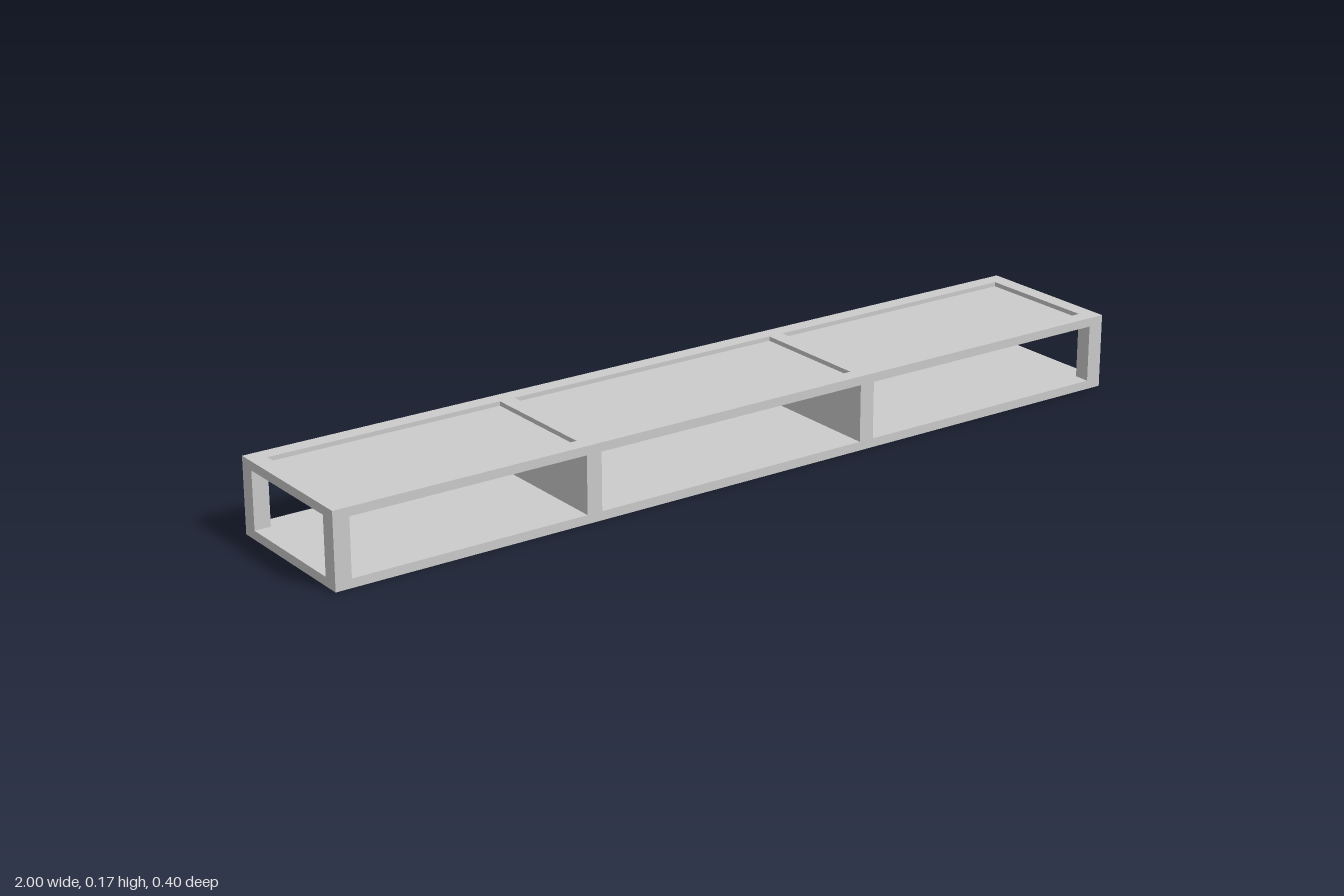
import * as THREE from 'three';

const L = 1.994, W = 0.361, H = 0.17; // outer size
const T = 0.02;                       // slab thickness
const P = 0.037;                      // post and frame width
const RECESS = 0.01;
// x limits of the three bays
const BAYS = [[-L / 2 + P, -0.41], [-0.374, 0.298], [0.334, L / 2 - P]];

export function createModel() {
  const material = new THREE.MeshStandardMaterial({ color: 0xcccccc, flatShading: true });
  const model = new THREE.Group();
  model.name = 'openShelfUnit';

  const add = (name, geometry) => {
    const mesh = new THREE.Mesh(geometry, material);
    mesh.name = name;
    model.add(mesh);
    return mesh;
  };
  // Box given by its lower and upper limits
  const box = (name, x0, x1, y0, y1, z0, z1) =>
    add(name, new THREE.BoxGeometry(x1 - x0, y1 - y0, z1 - z0))
      .position.set((x0 + x1) / 2, (y0 + y1) / 2, (z0 + z1) / 2);
  // Rectangle outline in x and depth
  const rect = (path, x0, x1, z0, z1) =>
    path.moveTo(x0, z0).lineTo(x1, z0).lineTo(x1, z1).lineTo(x0, z1).closePath();

  // Floor slab
  box('floor', -L / 2, L / 2, 0, T, -W / 2, W / 2);

  // Top frame with one cut-out per bay
  const zi = W / 2 - P;
  const outline = new THREE.Shape();
  rect(outline, -L / 2, L / 2, -W / 2, W / 2);
  for (const [a, b] of BAYS) {
    const hole = new THREE.Path();
    rect(hole, a, b, -zi, zi);
    outline.holes.push(hole);
  }
  const frame = new THREE.ExtrudeGeometry(outline, { depth: T, bevelEnabled: false });
  frame.rotateX(-Math.PI / 2);
  add('topFrame', frame).position.y = H - T;

  // Recessed top panels
  for (const [a, b] of BAYS) box('topPanel', a, b, H - T, H - RECESS, -zi, zi);

  // Corner posts
  for (const sx of [-1, 1]) for (const sz of [-1, 1]) {
    add('cornerPost', new THREE.BoxGeometry(P, H - 2 * T, P))
      .position.set(sx * (L - P) / 2, H / 2, sz * (W - P) / 2);
  }

  // Full-depth partitions between the bays
  for (let i = 0; i < BAYS.length - 1; i++) {
    box('partition', BAYS[i][1], BAYS[i + 1][0], T, H - T, -W / 2, W / 2);
  }

  // Slight turn of the whole unit
  model.rotation.y = -Math.PI / 180;
  const root = new THREE.Group();
  root.name = 'shelf';
  root.add(model);
  return root;
}
